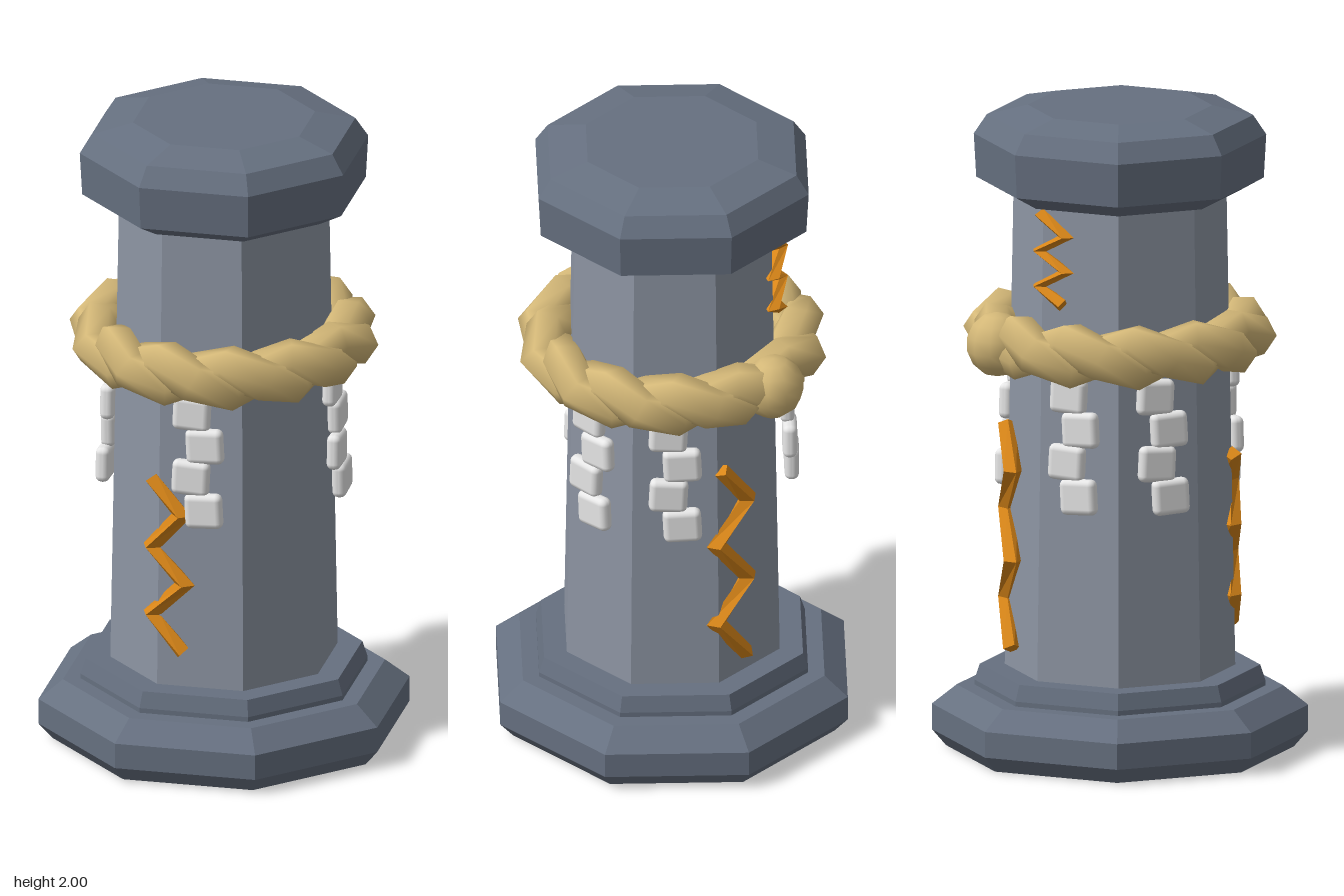
import * as THREE from 'three';
import { RoundedBoxGeometry } from 'three/addons/geometries/RoundedBoxGeometry.js';

const paint = (name, color) => Object.assign(new THREE.MeshStandardMaterial({ color }), { name });

export function createModel() {
  const model = new THREE.Group();
  const darkStone = paint('darkStone', 0x667080);
  const paleStone = paint('paleStone', 0x8d95a3);
  const straw = paint('straw', 0xd4b878);
  const paper = paint('paper', 0xececec);
  const amber = paint('amber', 0xd98618);

  const add = (name, geometry, material, parent = model) => {
    const mesh = new THREE.Mesh(geometry, material);
    mesh.name = name;
    parent.add(mesh);
    return mesh;
  };
  const faceted = (geometry) => {
    const flat = geometry.index ? geometry.toNonIndexed() : geometry;
    flat.computeVertexNormals();
    return flat;
  };

  // Octagonal stonework: profiles of [distance to flat side, height]
  const octagon = (name, profile, material) => {
    const points = profile.map(([r, y]) => new THREE.Vector2(r / Math.cos(Math.PI / 8), y));
    add(name, faceted(new THREE.LatheGeometry(points, 8, Math.PI / 8)), material);
  };
  octagon('plinth', [[0, 0], [0.49, 0], [0.53, 0.05], [0.53, 0.13], [0.46, 0.19], [0, 0.19]], darkStone);
  octagon('plinthStep', [[0, 0.18], [0.41, 0.18], [0.41, 0.205], [0.395, 0.255], [0, 0.255]], darkStone);
  octagon('column', [[0, 0.24], [0.325, 0.24], [0.3, 1.74], [0, 1.74]], paleStone);
  octagon('capital', [[0, 1.73], [0.33, 1.73], [0.405, 1.775], [0.412, 1.91], [0.375, 1.97], [0.26, 2], [0, 2]], darkStone);

  // Two-strand twisted rope ring
  class Strand extends THREE.Curve {
    constructor(phase) {
      super();
      this.phase = phase;
    }
    getPoint(t, target = new THREE.Vector3()) {
      const around = t * Math.PI * 2;
      const twist = around * 6 + this.phase;
      const r = 0.382 + 0.033 * Math.cos(twist);
      return target.set(r * Math.cos(around), 1.295 + 0.036 * Math.sin(twist), r * Math.sin(around));
    }
    getPointAt(t, target) {
      return this.getPoint(t, target);
    }
  }
  const rope = new THREE.Group();
  rope.name = 'rope';
  model.add(rope);
  for (const phase of [0, Math.PI]) {
    add('ropeStrand', new THREE.TubeGeometry(new Strand(phase), 24, 0.068, 6, true), straw, rope);
  }
  const knot = add('ropeKnot', new THREE.SphereGeometry(0.1, 10, 7), straw, rope);
  knot.position.set(-0.015, 1.29, -0.41);
  knot.scale.z = 0.92;

  // Hanging paper streamers, each a staggered chain of soft squares
  const square = new RoundedBoxGeometry(0.118, 0.112, 0.045, 2, 0.02);
  for (const degrees of [0, 90, 135, 225, 270]) {
    const streamer = new THREE.Group();
    streamer.name = 'paperStreamer';
    streamer.rotation.y = THREE.MathUtils.degToRad(degrees);
    model.add(streamer);
    for (let i = 0; i < 4; i++) {
      const side = i % 2 ? 1 : -1;
      const piece = add('paperSquare', square, paper, streamer);
      piece.position.set(0.021 * side, 1.16 - 0.103 * i, 0.344 + 0.007 * i);
      piece.rotation.z = 0.05 * side;
    }
  }

  // Zigzag bolts wrapped round the column, with a diamond cross-section
  const bolt = (name, facing, radius, half, path) => {
    const spots = path.map(([x, y]) => {
      const a = Math.asin(x / radius);
      return [facing > 0 ? a : Math.PI - a, y];
    });
    const last = spots.length - 1;
    const positions = [];
    const index = [];
    spots.forEach(([a, y], i) => {
      const n = new THREE.Vector3(Math.sin(a), 0, Math.cos(a));
      const s = new THREE.Vector3(Math.cos(a), 0, -Math.sin(a));
      const centre = n.clone().multiplyScalar(radius).setY(y);
      if (i === 0 || i === last) {
        // square-cut ends
        const [p, q] = i === 0 ? [spots[0], spots[1]] : [spots[last - 1], spots[last]];
        const d = new THREE.Vector2((q[0] - p[0]) * radius, q[1] - p[1]).normalize();
        s.multiplyScalar(-d.y).setY(d.x).multiplyScalar(half * 0.75);
      } else {
        s.multiplyScalar(half);
      }
      n.multiplyScalar(half * 0.9);
      for (const offset of [n, s, n.clone().negate(), s.clone().negate()]) {
        positions.push(...centre.clone().add(offset).toArray());
      }
      if (i < last) {
        for (let j = 0; j < 4; j++) {
          const k = (j + 1) % 4;
          const [p, q, r, t] = [i * 4 + j, i * 4 + 4 + j, i * 4 + 4 + k, i * 4 + k];
          index.push(p, q, t, q, r, t);
        }
      }
    });
    const e = last * 4;
    index.push(0, 1, 2, 0, 2, 3, e, e + 2, e + 1, e, e + 3, e + 2);
    const geometry = new THREE.BufferGeometry();
    geometry.setAttribute('position', new THREE.Float32BufferAttribute(positions, 3));
    geometry.setIndex(index);
    add(name, faceted(geometry), amber);
  };
  bolt('frontBolt', 1, 0.342, 0.033,
    [[-0.155, 0.92], [-0.055, 0.82], [-0.155, 0.7], [-0.045, 0.595], [-0.155, 0.48], [-0.05, 0.37]]);
  bolt('lowerBackBolt', -1, 0.342, 0.033,
    [[0.12, 1.01], [0.025, 0.88], [0.135, 0.745], [0.025, 0.6], [0.135, 0.465], [0.03, 0.325]]);
  bolt('upperBackBolt', -1, 0.33, 0.028,
    [[-0.12, 1.71], [-0.205, 1.65], [-0.115, 1.595], [-0.205, 1.54], [-0.115, 1.485], [-0.195, 1.435]]);

  return model;
}
